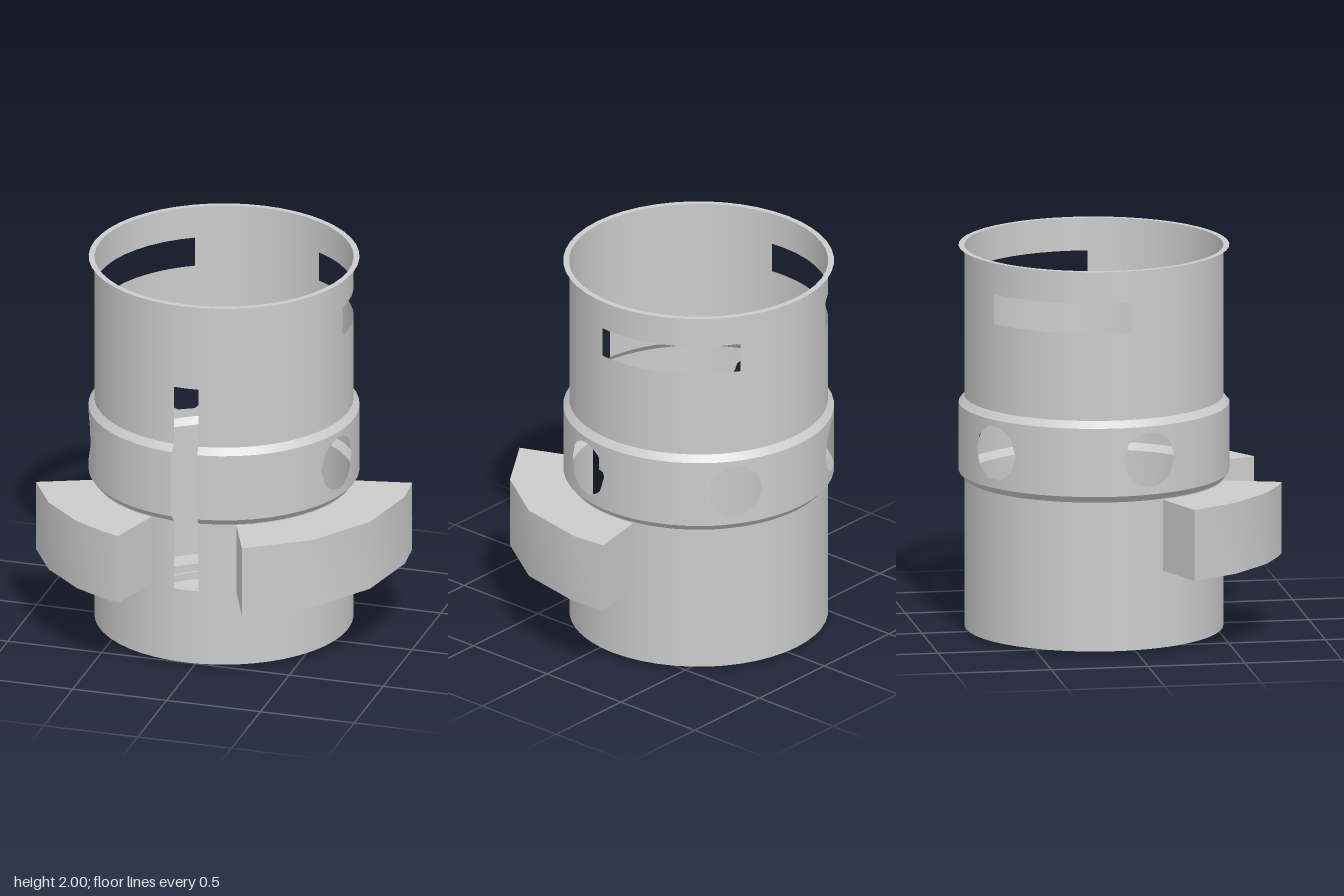
import * as THREE from 'three';
import { toCreasedNormals } from 'three/addons/utils/BufferGeometryUtils.js';

const rad = THREE.MathUtils.degToRad;
const R = 0.66, BAND = 0.69;

// Angles run in degrees around the can, 0 = front (+z), 90 = +x
const polar = (deg, r, y) => [Math.sin(rad(deg)) * r, y, Math.cos(rad(deg)) * r];

// Rectangular openings in the wall: angle range, height range
const slots = [
  { a0: -5.65, a1: 5.65, y0: 0.42, y1: 1.535 },
  { a0: 83.3, a1: 150, y0: 1.675, y1: 1.83 },
  { a0: -150, a1: -83.3, y0: 1.675, y1: 1.83 },
];

// Ten-sided ports in the raised band
const ports = [75, 147, -75, -147];
const PORT_Y = 1.0125, PORT_H = 0.1425, PORT_A = 12;

// Wall profile rows, [height, radius]
const profile = [
  [0.02, R], [0.42, R], [0.795, R], [0.83, BAND], [1.185, BAND],
  [1.22, R], [1.535, R], [1.675, R], [1.83, R], [2.0, R],
];

function wallGeometry() {
  // Columns: even steps plus the edges of every opening
  const angles = [];
  for (let a = -180; a <= 180; a += 7.5) angles.push(a);
  for (const s of slots) angles.push(s.a0, s.a1);
  for (const p of ports)
    for (let k = 0; k <= 5; k++) angles.push(p + PORT_A * Math.cos(rad(36 * k)));
  angles.sort((a, b) => a - b);
  const cols = angles.filter((a, i) => i === 0 || a - angles[i - 1] > 1e-4);

  const pos = [], nor = [];
  // Wall patch between two angles, corner heights given per side
  const patch = (a0, a1, lo0, lo1, hi0, hi1, radius, slope) => {
    const corners = [[a0, lo0], [a1, lo1], [a1, hi1], [a0, hi0]];
    for (const i of [0, 1, 2, 0, 2, 3]) {
      const [a, y] = corners[i];
      pos.push(...polar(a, radius(y), y));
      nor.push(...new THREE.Vector3(...polar(a, 1, -slope)).normalize().toArray());
    }
  };

  for (let c = 0; c + 1 < cols.length; c++) {
    const a0 = cols[c], a1 = cols[c + 1], mid = (a0 + a1) / 2;
    const port = ports.find(p => Math.abs(mid - p) < PORT_A);
    for (let i = 0; i + 1 < profile.length; i++) {
      const [y0, r0] = profile[i], [y1, r1] = profile[i + 1], ym = (y0 + y1) / 2;
      if (slots.some(s => mid > s.a0 && mid < s.a1 && ym > s.y0 && ym < s.y1)) continue;
      const slope = (r1 - r0) / (y1 - y0);
      const radius = y => r0 + slope * (y - y0);
      if (port !== undefined && PORT_Y > y0 && PORT_Y < y1) {
        const half = a => PORT_H * Math.sqrt(Math.max(0, 1 - ((a - port) / PORT_A) ** 2));
        const h0 = half(a0), h1 = half(a1);
        patch(a0, a1, y0, y0, PORT_Y - h0, PORT_Y - h1, radius, slope);
        patch(a0, a1, PORT_Y + h0, PORT_Y + h1, y1, y1, radius, slope);
      } else {
        patch(a0, a1, y0, y0, y1, y1, radius, slope);
      }
    }
  }
  const geo = new THREE.BufferGeometry();
  geo.setAttribute('position', new THREE.Float32BufferAttribute(pos, 3));
  geo.setAttribute('normal', new THREE.Float32BufferAttribute(nor, 3));
  return geo;
}

// Block wrapped around the wall; outer corners at the listed angles
function sectorGeometry(outerAngles) {
  const pts = outerAngles.map(a => polar(a, 0.963, 0));
  const first = outerAngles[0], last = outerAngles[outerAngles.length - 1];
  for (let i = 0; i <= 12; i++) pts.push(polar(last + (first - last) * i / 12, R, 0));
  const shape = new THREE.Shape(pts.map(p => new THREE.Vector2(p[0], -p[2])));
  const geo = new THREE.ExtrudeGeometry(shape, { depth: 0.37, bevelEnabled: false });
  geo.rotateX(-Math.PI / 2).translate(0, 0.42, 0);
  return toCreasedNormals(geo, 0.5);
}

export function createModel() {
  const model = new THREE.Group();
  const sheet = new THREE.MeshStandardMaterial({ color: 0xcccccc, side: THREE.DoubleSide });
  const solid = new THREE.MeshStandardMaterial({ color: 0xcccccc });
  const add = (name, geo, mat) => {
    const mesh = new THREE.Mesh(geo, mat);
    mesh.name = name;
    model.add(mesh);
    return mesh;
  };

  add('canWall', wallGeometry(), sheet);

  // Thin flange around the open top
  const rim = new THREE.RingGeometry(R, BAND, 48).rotateX(-Math.PI / 2);
  add('topRim', rim, sheet).position.y = 2;

  // Recessed floor with a shallow stepped disc pressed downwards
  const floor = [[0, 0], [0.525, 0], [0.525, 0.04], [0.537, 0.04], [0.537, 0.08], [R, 0.08]];
  const lathe = new THREE.LatheGeometry(floor.map(p => new THREE.Vector2(...p)), 48);
  add('floor', toCreasedNormals(lathe, 0.5), sheet);

  // Two grip blocks outside the wall
  add('leftBlock', sectorGeometry([22.5, 45, 67.5, 90, 101]), solid);
  add('rightBlock', sectorGeometry([-67.5, -51, -34, -22, -17]), solid);

  model.position.set(-0.037, 0, -0.117);
  const group = new THREE.Group();
  group.name = 'slottedCan';
  group.add(model);
  return group;
}
